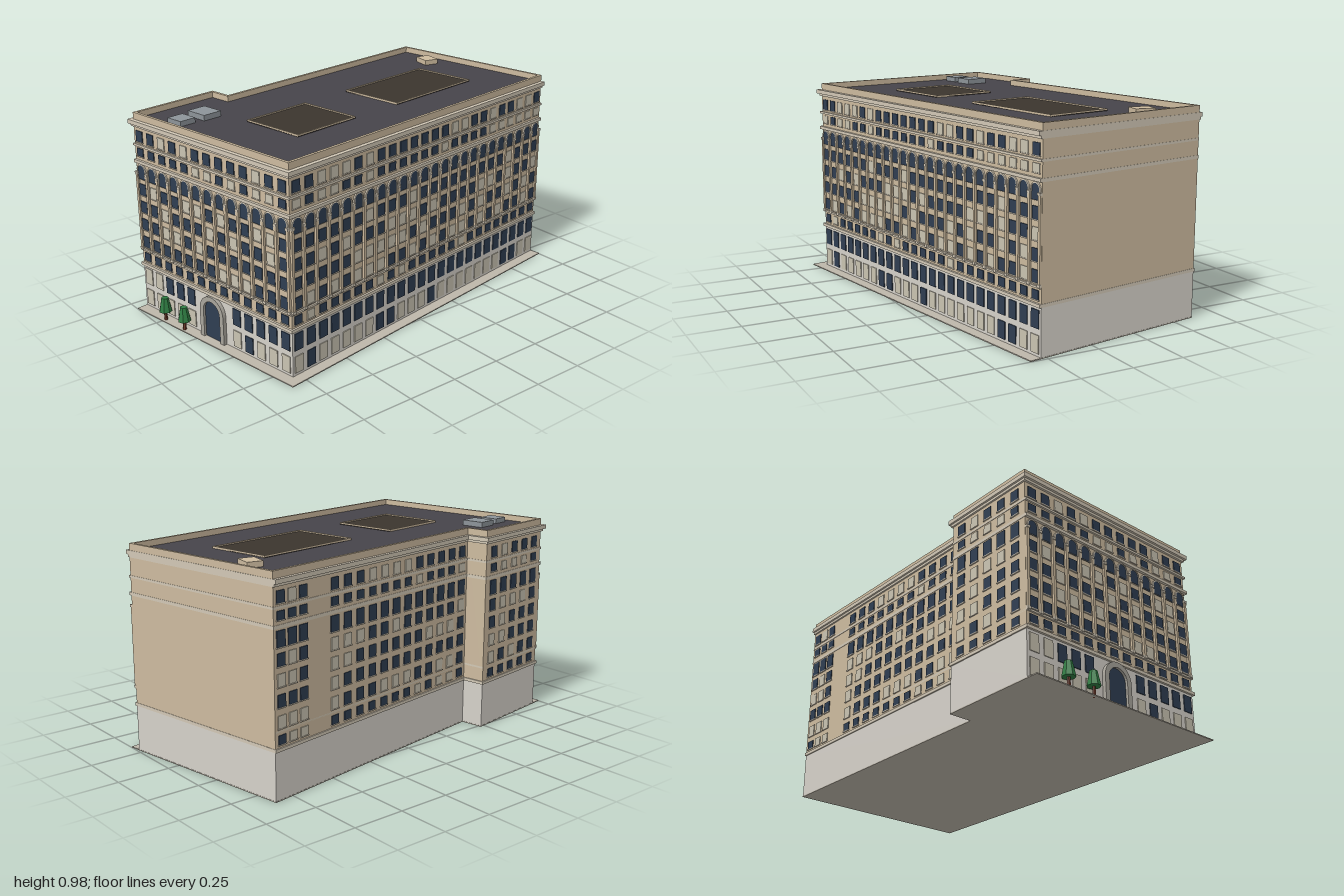
import * as THREE from 'three';
import { mergeGeometries } from 'three/addons/utils/BufferGeometryUtils.js';

const mat = (color) => new THREE.MeshStandardMaterial({ color, flatShading: true });
const M = {
  wall: mat(0xcdbb9f), stone: mat(0xd6d2ca), trim: mat(0xd2c8b6), roof: mat(0x46444a),
  court: mat(0x3b352e), glass: mat(0x2f3e52), blind: mat(0xcac4b2), pave: mat(0xbeb7aa),
  metal: mat(0x8d9499), leaf: mat(0x2f7d43), trunk: mat(0x6b3a2a), grey: mat(0xa9a59c),
};

// Building plan: left, right, front, back, with a deeper bay at the back left
const L = -0.864, R = 0.934, F = 0.431, B = -0.47, BAY_B = -0.582, BAY_R = -0.388;

function plan(f = 0, l = f, b = f, r = 0) {
  return [[L - l, F + f], [R + r, F + f], [R + r, B - b], [BAY_R + b, B - b], [BAY_R + b, BAY_B - b], [L - l, BAY_B - b]]
    .map(([x, z]) => new THREE.Vector2(x, -z));
}

// Upright prism of a plan outline between two heights, optionally hollow
function slab(name, outline, y0, y1, material, hole) {
  const shape = new THREE.Shape(outline);
  if (hole) shape.holes.push(new THREE.Path(hole));
  const g = new THREE.ExtrudeGeometry(shape, { depth: y1 - y0, bevelEnabled: false });
  g.rotateX(-Math.PI / 2).translate(0, y0, 0);
  const mesh = new THREE.Mesh(g, material);
  mesh.name = name;
  return mesh;
}

function block(name, w, h, d, x, y, z, material) {
  const mesh = new THREE.Mesh(new THREE.BoxGeometry(w, h, d), material);
  mesh.position.set(x, y + h / 2, z);
  mesh.name = name;
  return mesh;
}

const panel = (x, y0, y1, w, d) => new THREE.BoxGeometry(w, y1 - y0, d).translate(x, (y0 + y1) / 2, d / 2);

// Round-headed panel; with a border it becomes an arched surround
function arch(x, y0, y1, w, d, border = 0) {
  const outline = (Path, r) => {
    const p = new Path();
    p.moveTo(-r, y0);
    p.lineTo(r, y0);
    p.lineTo(r, y1 - w / 2);
    p.absarc(0, y1 - w / 2, r, 0, Math.PI, false);
    p.closePath();
    return p;
  };
  const shape = outline(THREE.Shape, w / 2 + border);
  if (border) shape.holes.push(outline(THREE.Path, w / 2));
  return new THREE.ExtrudeGeometry(shape, { depth: d, bevelEnabled: false, curveSegments: 8 }).translate(x, 0, 0);
}

// Window rows: bottom, top, width, share of drawn blinds
const ROWS = [
  [0.018, 0.098, 0.05, 0.75], [0.126, 0.207, 0.05, 0.04], [0.25, 0.29, 0.044, 0.3],
  [0.32, 0.375, 0.046, 0.4], [0.41, 0.465, 0.046, 0.35], [0.498, 0.553, 0.046, 0.35],
  [0.585, 0.64, 0.046, 0.3], [0.665, 0.735, 0.05, 0], [0.778, 0.816, 0.044, 0.3], [0.848, 0.9, 0.046, 0.3],
];

let seed = 7;
const rand = () => (seed = (seed * 16807) % 2147483647) / 2147483647;

// Facade facing +z: columns are x centres, ornate ones get piers, arches and street windows
function facade(name, columns, pitch, ornate, gap = 0) {
  const parts = { glass: [], blind: [], wall: [], trim: [] };
  ROWS.forEach(([y0, y1, w, share], i) => {
    if (!ornate && i < 2) return;
    for (const x of columns) {
      if (i < 2 && Math.abs(x) < gap) continue;
      const pane = parts[rand() < share ? 'blind' : 'glass'];
      if (i === 7 && ornate) {
        pane.push(arch(x, y0, y1, w, 0.004));
        parts.trim.push(arch(x, y0, y1, w, 0.007, 0.006));
      } else {
        pane.push(panel(x, y0, y1, w, 0.004));
        if (i > 1) parts.trim.push(panel(x, y0 - 0.005, y0, w + 0.006, 0.006));
      }
    }
  });
  if (ornate) {
    // Piers with base and capital between the columns
    for (let i = 0; i <= columns.length; i++) {
      const inset = i === 0 ? 0.008 : i === columns.length ? -0.008 : 0;
      const x = columns[0] + (i - 0.5) * pitch + inset;
      parts.wall.push(panel(x, 0.315, 0.69, 0.014, 0.01));
      parts.trim.push(panel(x, 0.305, 0.318, 0.018, 0.012), panel(x, 0.688, 0.7, 0.018, 0.013));
    }
  }
  const group = new THREE.Group();
  group.name = name;
  const labels = { glass: 'windows', blind: 'windowsWithBlinds', wall: 'piers', trim: 'windowTrim' };
  for (const key in parts) {
    if (!parts[key].length) continue;
    const mesh = new THREE.Mesh(mergeGeometries(parts[key].map((g) => (g.index ? g.toNonIndexed() : g))), M[key]);
    mesh.name = labels[key];
    group.add(mesh);
  }
  return group;
}

const spread = (n, pitch, centre = 0) => Array.from({ length: n }, (_, i) => centre + (i - (n - 1) / 2) * pitch);

function place(object, x, z, turn) {
  object.position.set(x, 0, z);
  object.rotation.y = turn;
  return object;
}

function tree(x, z) {
  const g = new THREE.Group();
  g.name = 'tree';
  const trunk = new THREE.Mesh(new THREE.CylinderGeometry(0.007, 0.009, 0.06, 6), M.trunk);
  trunk.position.y = 0.03;
  trunk.name = 'trunk';
  const crown = new THREE.Mesh(new THREE.CylinderGeometry(0.017, 0.031, 0.07, 7), M.leaf);
  crown.position.y = 0.085;
  crown.name = 'crown';
  g.add(trunk, crown);
  return place(g, x, z, x * 5);
}

export function createModel() {
  const model = new THREE.Group();
  model.name = 'officeBlock';
  const city = new THREE.Group();
  city.name = 'building';
  city.rotation.y = Math.PI / 20;
  model.add(city);

  // Pavement, stone base and upper walls
  city.add(slab('pavement', plan(0.054, 0.055, 0.001, 0.001), 0, 0.005, M.pave));
  city.add(slab('stoneBase', plan(), 0.005, 0.22, M.stone));
  city.add(slab('upperWalls', plan(), 0.22, 0.95, M.wall));

  // String courses and stepped cornice: bottom, top, front overhang, back overhang
  [[0.22, 0.235, 0.01, 0.006], [0.3, 0.309, 0.008, 0], [0.743, 0.758, 0.012, 0.002],
    [0.825, 0.836, 0.009, 0.002], [0.918, 0.93, 0.01, 0.008]]
    .forEach(([y0, y1, f, b]) => city.add(slab('stringCourse', plan(f, f, b, b ? 0.0015 : -0.002), y0, y1, M.trim)));
  city.add(slab('cornice', plan(0.02, 0.02, 0.017, 0.002), 0.93, 0.95, M.trim));

  // Parapet around a flat roof
  city.add(slab('parapet', plan(), 0.95, 0.982, M.wall, plan(-0.014, -0.014, -0.014, -0.014)));
  city.add(slab('roof', plan(-0.012, -0.012, -0.012, -0.012), 0.948, 0.954, M.roof));

  // Dark light courts with thin raised rims
  for (const [x, z, w, d] of [[-0.367, 0.007, 0.368, 0.325], [0.389, 0.005, 0.566, 0.33]]) {
    city.add(block('lightCourt', w, 0.005, d, x, 0.953, z, M.court));
    for (const s of [-1, 1]) {
      city.add(block('courtRim', w, 0.012, 0.006, x, 0.952, z + s * (d / 2 - 0.003), M.wall));
      city.add(block('courtRim', 0.006, 0.012, d, x + s * (w / 2 - 0.003), 0.952, z, M.wall));
    }
  }

  // Rooftop equipment
  city.add(block('rooftopUnit', 0.085, 0.026, 0.09, -0.76, 0.952, -0.363, M.metal));
  city.add(block('rooftopUnit', 0.1, 0.028, 0.115, -0.625, 0.952, -0.364, M.metal));
  const hut = block('roofHut', 0.075, 0.027, 0.095, 0.82, 0.952, -0.227, M.wall);
  hut.rotation.y = -0.34;
  city.add(hut);

  // Street facades
  const fp = (R - L) / 24, lp = (F - BAY_B) / 13;
  city.add(place(facade('frontFacade', spread(24, fp), fp, true), (L + R) / 2, F, 0));
  const left = facade('leftFacade', spread(13, lp), lp, true, 0.1);
  city.add(place(left, L, (F + BAY_B) / 2, -Math.PI / 2));

  // Arched entrance on the left side
  const door = new THREE.Mesh(arch(0, 0.005, 0.195, 0.11, 0.006), M.glass);
  door.name = 'entranceDoor';
  const surround = new THREE.Mesh(arch(0, 0.005, 0.195, 0.11, 0.018, 0.025), M.grey);
  surround.name = 'entranceSurround';
  left.add(door, surround);

  // Plainer rear facades
  const rear = [...spread(12, 0.083, 0.16), ...spread(3, 0.066, -0.555)];
  city.add(place(facade('rearFacade', rear, 0.083, false), (BAY_R + R) / 2, B, Math.PI));
  city.add(place(facade('rearBayFacade', spread(5, 0.088), 0.088, false), (L + BAY_R) / 2, BAY_B, Math.PI));

  // Street trees
  city.add(tree(-0.9, -0.39), tree(-0.902, -0.249));
  return model;
}
